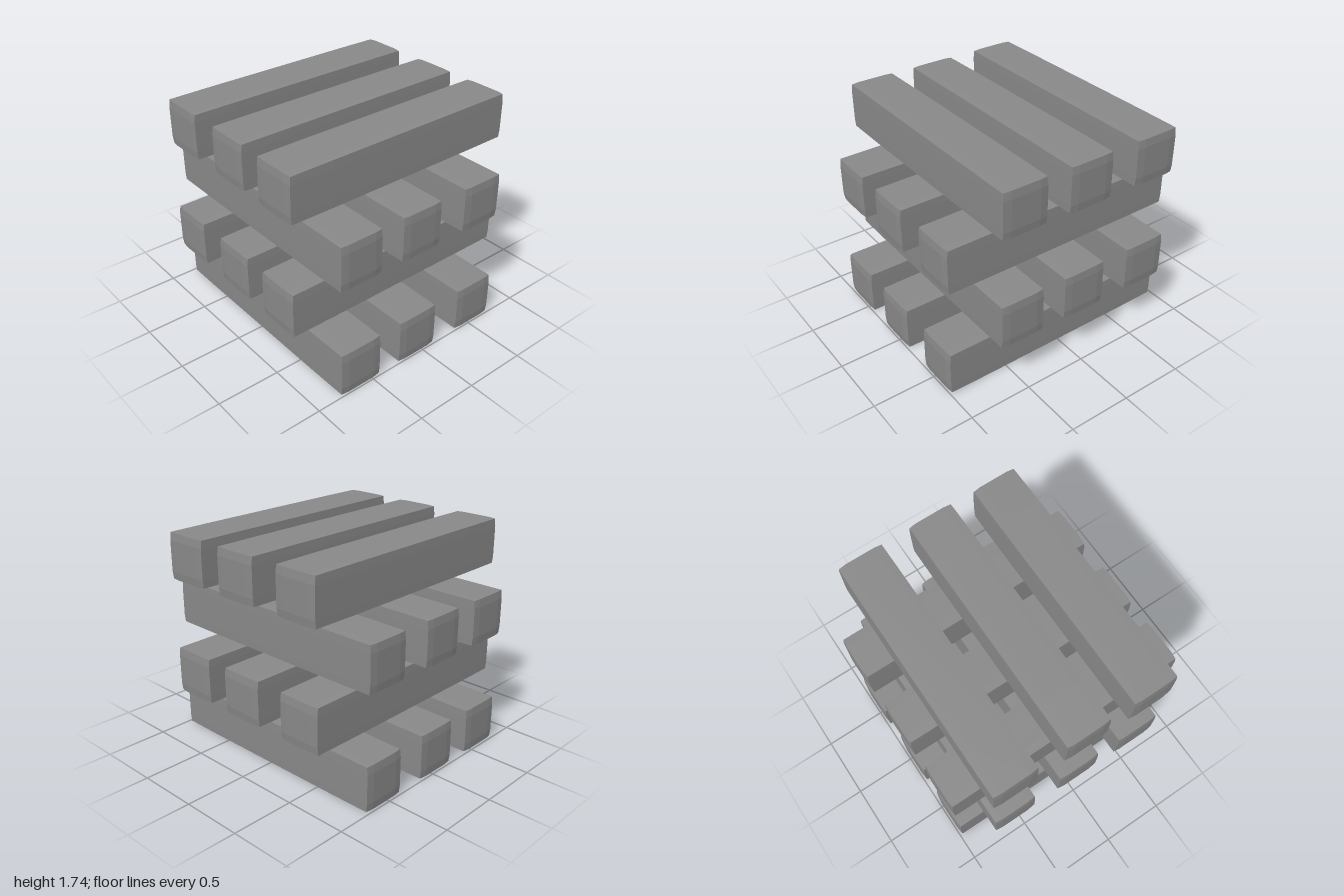
import * as THREE from 'three';

const SIZE = 0.358;            // square section of a beam
const LENGTH = 1.98;           // length at the middle of the ends
const FLAT = 0.65;             // share of each face that stays flat
const END_INSET = 0.007;       // how far the end faces fall back at their rims
const SIDE_INSET = 0.0015;     // the same for the long faces

// Square beam along x whose faces fall back slightly towards their rims
function beamGeometry() {
  const geo = new THREE.BoxGeometry(2, 2, 2, 3, 3, 3);
  const p = geo.attributes.position;
  const half = [LENGTH / 2, SIZE / 2, SIZE / 2];
  const inset = [END_INSET, SIDE_INSET, SIDE_INSET];
  for (let i = 0; i < p.count; i++) {
    const corner = [p.getX(i), p.getY(i), p.getZ(i)];
    const rims = corner.filter((c) => Math.abs(c) > 0.9).length - 1;
    const moved = corner.map((c, a) => Math.sign(c)
      * (Math.abs(c) > 0.9 ? half[a] - inset[a] * rims : half[a] * FLAT));
    p.setXYZ(i, ...moved);
  }
  geo.computeVertexNormals();
  return geo;
}

export function createModel() {
  const model = new THREE.Group();
  model.name = 'beamStack';
  const material = new THREE.MeshStandardMaterial({ color: 0x888888, flatShading: true });
  const geo = beamGeometry();

  // Sideways positions of the beams, and how far each slides along its length
  const crossRow = [-0.542, 0.055, 0.606];
  const deepRow = [-0.589, -0.004, 0.541];
  const layers = [
    { name: 'bottomCrossBeam', y: 0, along: 'x', row: crossRow, slide: [0.003, 0.003, 0.003] },
    { name: 'lowerDeepBeam', y: 0.469, along: 'z', row: deepRow, slide: [0.003, 0.003, 0.009] },
    { name: 'upperCrossBeam', y: 0.899, along: 'x', row: crossRow, slide: [-0.008, -0.008, -0.008] },
    { name: 'topDeepBeam', y: 1.377, along: 'z', row: deepRow, slide: [-0.008, -0.008, 0] },
  ];

  // Alternate layers of three beams, turned a quarter each time
  for (const { name, y, along, row, slide } of layers) {
    row.forEach((side, i) => {
      const beam = new THREE.Mesh(geo, material);
      beam.name = name + (i + 1);
      if (along === 'x') {
        beam.position.set(slide[i], y + SIZE / 2, side);
      } else {
        beam.position.set(side, y + SIZE / 2, slide[i]);
        beam.rotation.y = Math.PI / 2;
      }
      model.add(beam);
    });
  }
  return model;
}
